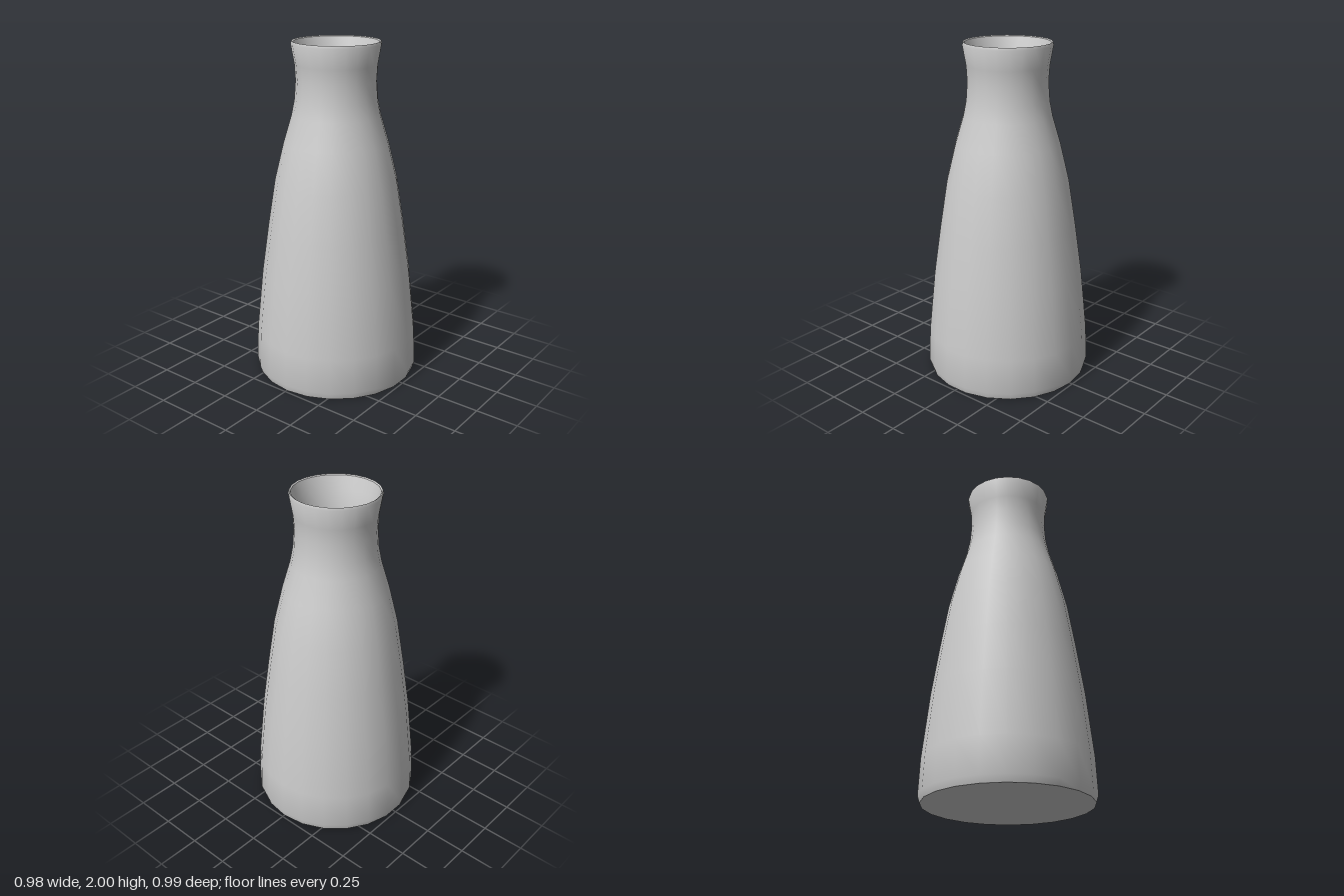
import * as THREE from 'three';
import { toCreasedNormals } from 'three/addons/utils/BufferGeometryUtils.js';

const SIDES = 22;

export function createModel() {
  const group = new THREE.Group();
  group.name = 'bottle';
  const material = new THREE.MeshStandardMaterial({ color: 0xcccccc });

  // Outer wall, from the centre of the base up to the lip
  const outer = [
    [0, 0], [0.484, 0], [0.496, 0.04], [0.487, 0.25], [0.447, 0.63],
    [0.405, 0.92], [0.36, 1.2], [0.306, 1.42], [0.258, 1.58], [0.24, 1.67],
    [0.232, 1.78], [0.237, 1.87], [0.257, 1.985], [0.252, 2],
  ];
  // Inner wall, from the lip down to the centre of the hollow's floor
  const inner = [
    [0.244, 1.995], [0.222, 1.92], [0.197, 1.83], [0.19, 1.75], [0.203, 1.64],
    [0.264, 1.42], [0.318, 1.2], [0.403, 0.63], [0.443, 0.25], [0.446, 0.04],
    [0, 0.04],
  ];

  const profile = [...outer, ...inner].map(([r, y]) => new THREE.Vector2(r, y));
  const geometry = toCreasedNormals(new THREE.LatheGeometry(profile, SIDES), 0.6);
  const body = new THREE.Mesh(geometry, material);
  body.name = 'bottleBody';
  group.add(body);
  return group;
}
